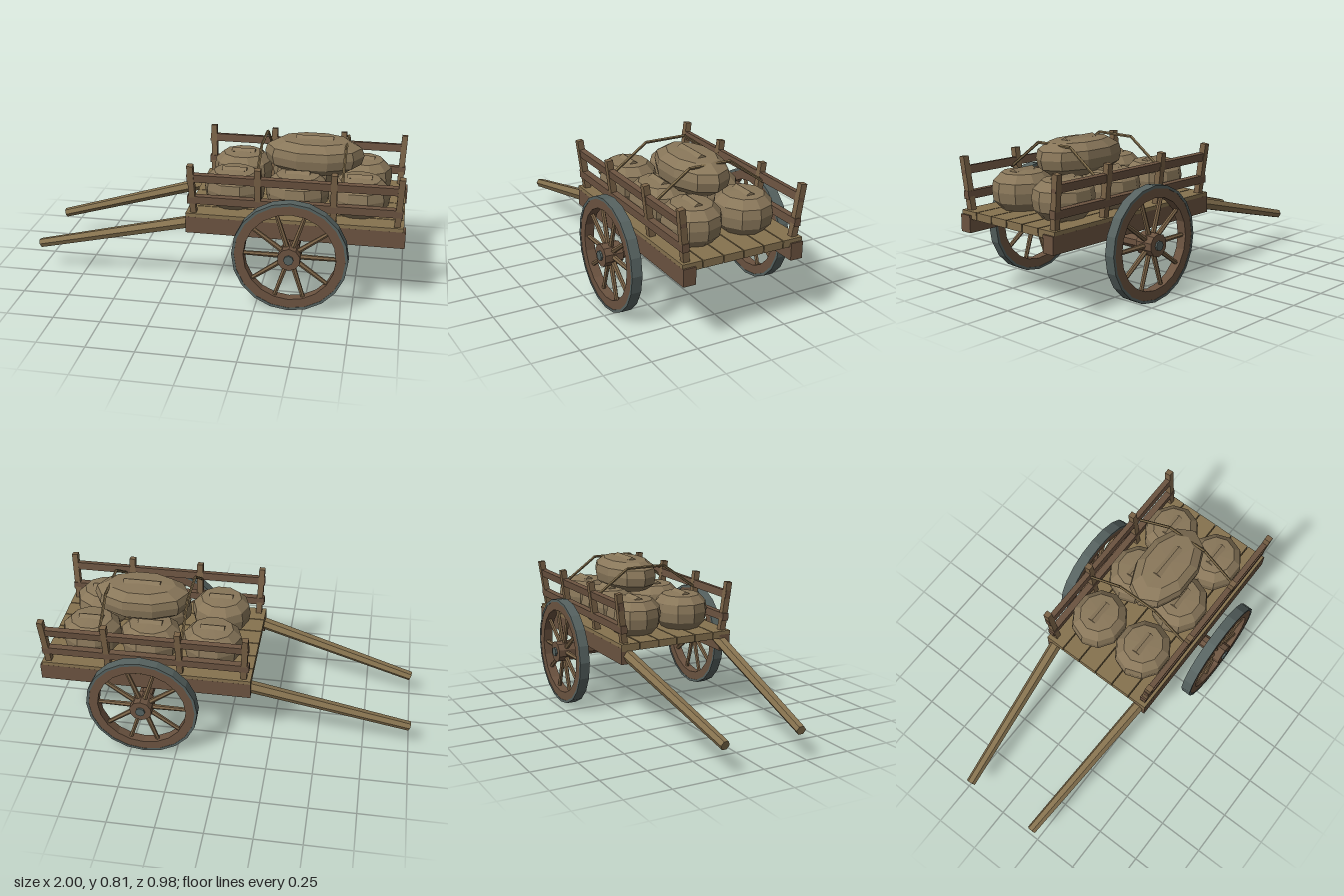
import * as THREE from 'three';

const mat = (name, color) => {
  const m = new THREE.MeshStandardMaterial({ color, flatShading: true });
  m.name = name;
  return m;
};

export function createModel() {
  const cart = new THREE.Group();
  cart.name = 'handCart';

  const darkWood = mat('darkWood', 0x6b5340);
  const paleWood = mat('paleWood', 0x86724f);
  const postWood = mat('postWood', 0x7a6347);
  const iron = mat('iron', 0x566260);
  const burlap = mat('burlap', 0x89775a);
  const ropeMat = mat('rope', 0x7d6a49);

  const add = (parent, name, geo, material, x = 0, y = 0, z = 0) => {
    const m = new THREE.Mesh(geo, material);
    m.name = name;
    m.position.set(x, y, z);
    parent.add(m);
    return m;
  };
  const box = (parent, name, material, w, h, d, x, y, z) =>
    add(parent, name, new THREE.BoxGeometry(w, h, d), material, x, y, z);

  // Tapered round bar between two points
  const bar = (parent, name, material, a, b, r0, r1, sides) => {
    const p = new THREE.Vector3(...a), q = new THREE.Vector3(...b);
    const dir = q.clone().sub(p);
    const m = add(parent, name, new THREE.CylinderGeometry(r1, r0, dir.length(), sides), material);
    m.position.copy(p).add(q).multiplyScalar(0.5);
    m.quaternion.setFromUnitVectors(new THREE.Vector3(0, 1, 0), dir.normalize());
    return m;
  };

  // Deck planks running lengthwise
  for (let i = 0; i < 6; i++) {
    box(cart, 'deckPlank', paleWood, 1.13, 0.04, 0.107, 0.425, 0.435, (i - 2.5) * 0.1125);
  }

  // Ring with square section, axis along z
  const ring = (outer, inner, depth, n = 20) => new THREE.LatheGeometry([
    [inner, -depth / 2], [outer, -depth / 2], [outer, depth / 2], [inner, depth / 2], [inner, -depth / 2],
  ].map(([r, y]) => new THREE.Vector2(r, y)), n).rotateX(Math.PI / 2);
  const drum = (r, depth, n) => new THREE.CylinderGeometry(r, r, depth, n).rotateX(Math.PI / 2);

  // Axle
  const AX = 0.425, AY = 0.3;
  add(cart, 'axle', drum(0.038, 0.78, 8).rotateZ(Math.PI / 8), darkWood, AX, AY, 0);

  for (const s of [1, -1]) {
    // Side beam
    box(cart, 'sideBeam', darkWood, 1.14, 0.09, 0.068, 0.43, 0.39, s * 0.301);

    // Pulling shaft
    bar(cart, 'shaft', paleWood, [-0.04, 0.412, s * 0.297], [-0.993, 0.157, s * 0.216], 0.034, 0.026, 6);

    // Outward leaning posts
    const lean = Math.atan2(0.035, 0.28);
    for (const x of [-0.105, 0.24, 0.63, 0.96]) {
      const post = box(cart, 'post', postWood, 0.032, 0.34, 0.034, x, 0.556, s * 0.315);
      post.rotation.x = s * lean;
      post.rotation.z = x < 0 ? 0.04 : x > 0.9 ? -0.04 : 0;
    }

    // Rails
    box(cart, 'lowerRail', darkWood, 1.11, 0.042, 0.036, 0.425, 0.53, s * 0.312).rotation.x = s * 0.04;
    box(cart, 'upperRail', darkWood, 1.11, 0.042, 0.03, 0.425, 0.655, s * 0.326).rotation.x = s * lean;

    // Wheel
    const wheel = new THREE.Group();
    wheel.name = 'wheel';
    wheel.position.set(AX, AY, s * 0.428);
    cart.add(wheel);
    add(wheel, 'tyre', ring(0.3, 0.286, 0.056), iron);
    add(wheel, 'felloe', ring(0.287, 0.238, 0.052), darkWood);
    add(wheel, 'hub', drum(0.06, 0.1, 10), darkWood);
    add(wheel, 'hubCap', drum(0.026, 0.02, 8), iron, 0, 0, s * 0.05);
    for (let i = 0; i < 10; i++) {
      const a = (i * Math.PI) / 5, c = Math.cos(a), d = Math.sin(a);
      bar(wheel, 'spoke', postWood, [c * 0.045, d * 0.045, 0], [c * 0.245, d * 0.245, 0], 0.014, 0.011, 6);
    }
  }

  // Sack with a low sewn ridge on top
  const profile = [[0, -1], [0.7, -0.99], [0.95, -0.55], [1, 0], [0.95, 0.48], [0.69, 0.9], [0, 1]]
    .map(([r, y]) => new THREE.Vector2(r, y));
  const sack = (name, x, y, z, rx, ry, rz, seam) => {
    const g = new THREE.Group();
    g.name = name;
    g.position.set(x, y, z);
    cart.add(g);
    add(g, 'sackBody', new THREE.LatheGeometry(profile, 10, Math.PI / 2).scale(rx, ry, rz), burlap);
    const ridge = new THREE.CylinderGeometry(0.018, 0.018, seam, 4).rotateZ(Math.PI / 2).scale(1, 0.8, 1.3);
    add(g, 'sackSeam', ridge, burlap, 0, ry - 0.004, 0);
  };
  for (const z of [0.147, -0.147]) {
    for (const [x, rx] of [[0.09, 0.163], [0.425, 0.168], [0.748, 0.163]]) {
      sack('lowerSack', x, 0.553, z, rx, 0.098, 0.15, 0.13);
    }
  }
  sack('topSack', 0.495, 0.711, 0, 0.265, 0.088, 0.157, 0.2);

  // Ropes tied across the load
  for (const x of [0.228, 0.668]) {
    const pts = [[0.325, 0.63], [0.115, 0.78], [-0.115, 0.78], [-0.325, 0.63]];
    for (let i = 0; i < 3; i++) {
      bar(cart, 'rope', ropeMat, [x, pts[i][1], pts[i][0]], [x, pts[i + 1][1], pts[i + 1][0]], 0.008, 0.008, 5);
    }
  }

  return cart;
}
